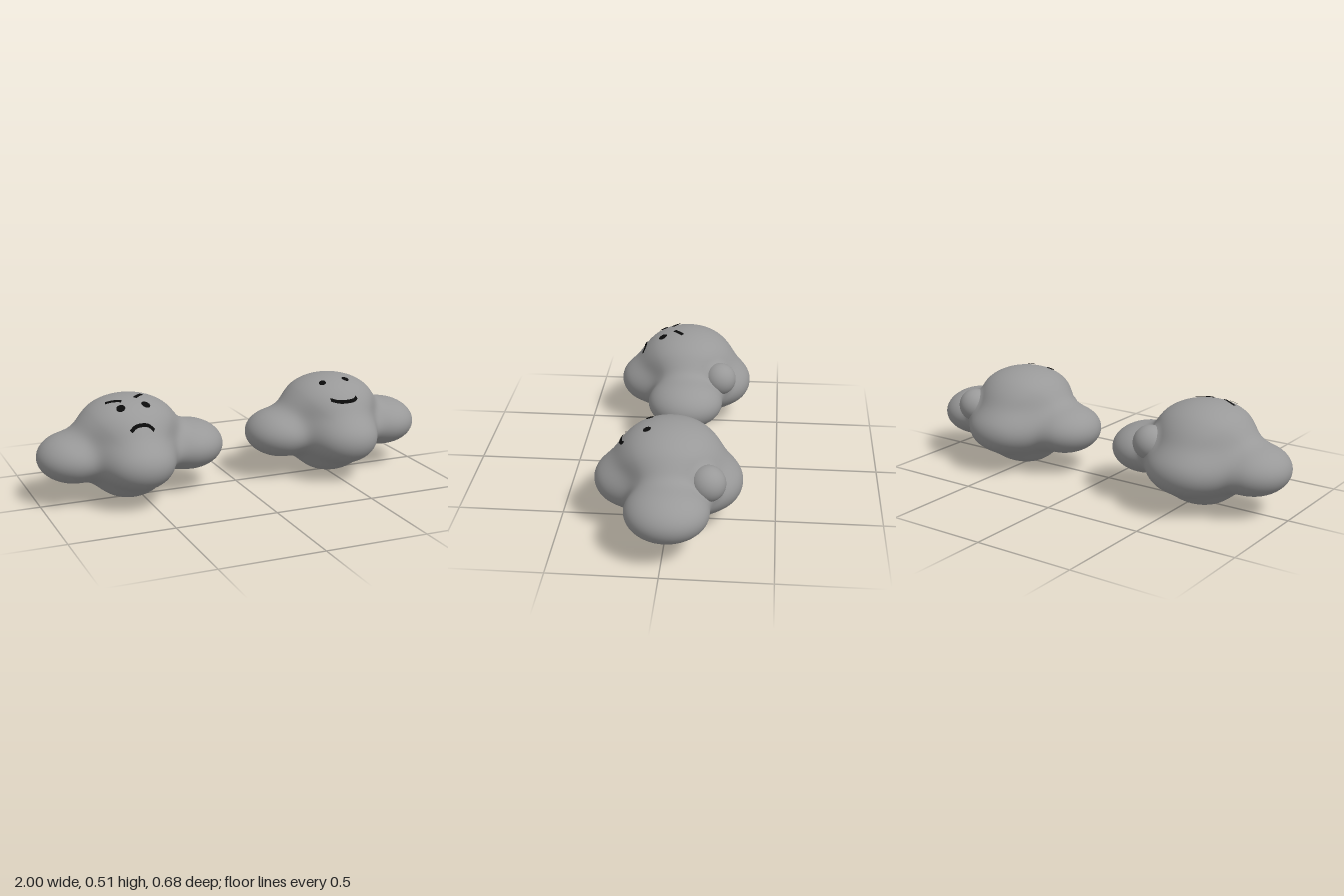
import * as THREE from 'three';
import { mergeVertices } from 'three/addons/utils/BufferGeometryUtils.js';

// Puffs that melt into one cloud: centre, radii, blend width
const PUFFS = [
  [[0, 0.36, -0.01], [0.235, 0.145, 0.23], 0.1],       // crown
  [[0, 0.12, -0.01], [0.17, 0.12, 0.17], 0.1],         // belly
  [[0.3, 0.225, -0.02], [0.182, 0.122, 0.19], 0.1],    // left side
  [[-0.26, 0.225, -0.02], [0.18, 0.122, 0.185], 0.1],  // right side
  [[0, 0.22, 0.17], [0.17, 0.13, 0.17], 0.1],          // front
  [[0, 0.22, -0.175], [0.2, 0.13, 0.17], 0.1],         // back
  [[0.165, 0.295, -0.165], [0.08, 0.08, 0.08], 0.04],  // neck of the small puff
];
const CENTRE = new THREE.Vector3(0, 0.24, -0.01);

function ellipsoidDistance(p, c, r) {
  const x = p.x - c[0], y = p.y - c[1], z = p.z - c[2];
  const k0 = Math.hypot(x / r[0], y / r[1], z / r[2]);
  const k1 = Math.hypot(x / r[0] ** 2, y / r[1] ** 2, z / r[2] ** 2);
  return (k0 * (k0 - 1)) / Math.max(k1, 1e-6);
}

// Smooth union of all puffs
function field(p) {
  let d = 10;
  for (const [c, r, k] of PUFFS) {
    const e = ellipsoidDistance(p, c, r);
    const h = Math.max(k - Math.abs(d - e), 0) / k;
    d = Math.min(d, e) - (h * h * k) / 4;
  }
  return d;
}

// Walk from a point outside the cloud to its surface
function cast(origin, dir) {
  const p = origin.clone();
  for (let i = 0; i < 70; i++) p.addScaledVector(dir, field(p) * 0.6);
  return p;
}

function cloudGeometry() {
  let geo = new THREE.IcosahedronGeometry(1, 38);
  geo.deleteAttribute('uv');
  geo.deleteAttribute('normal');
  geo = mergeVertices(geo);
  const pos = geo.attributes.position;
  const dir = new THREE.Vector3();
  for (let i = 0; i < pos.count; i++) {
    dir.fromBufferAttribute(pos, i).normalize();
    const p = cast(CENTRE.clone().addScaledVector(dir, 0.65), dir.clone().negate());
    pos.setXYZ(i, p.x, p.y, p.z);
  }
  geo.computeVertexNormals();
  return geo;
}

// Lay a flat shape onto the cloud, from above or from the front
function drape(geo, fromAbove) {
  const pos = geo.attributes.position;
  const dir = fromAbove ? new THREE.Vector3(0, -1, 0) : new THREE.Vector3(0, 0, -1);
  for (let i = 0; i < pos.count; i++) {
    const u = pos.getX(i), v = pos.getY(i);
    const start = fromAbove ? new THREE.Vector3(u, 0.7, -v) : new THREE.Vector3(u, v, 0.6);
    const p = cast(start, dir).addScaledVector(dir, -0.005);
    pos.setXYZ(i, p.x, p.y, p.z);
  }
  geo.computeVertexNormals();
  return geo;
}

// Flat ribbon along a curve through 2D points
function stroke(points, width) {
  const curve = new THREE.CatmullRomCurve3(points.map(([x, y]) => new THREE.Vector3(x, y, 0)));
  const geo = new THREE.PlaneGeometry(1, width, 20, 2);
  const pos = geo.attributes.position;
  for (let i = 0; i < pos.count; i++) {
    const t = pos.getX(i) + 0.5, w = pos.getY(i);
    const p = curve.getPoint(t), n = curve.getTangent(t);
    pos.setXYZ(i, p.x - n.y * w, p.y + n.x * w, 0);
  }
  return geo;
}

export function createModel() {
  const grey = new THREE.MeshStandardMaterial({ color: 0x999999 });
  grey.name = 'cloud grey';
  const ink = new THREE.MeshStandardMaterial({ color: 0x0a0a0a, side: THREE.DoubleSide });
  ink.name = 'ink black';

  const body = cloudGeometry();
  const puff = new THREE.SphereGeometry(0.083, 40, 28);

  function add(parent, name, geo, mat) {
    const mesh = new THREE.Mesh(geo, mat);
    mesh.name = name;
    parent.add(mesh);
    return mesh;
  }

  function makeCloud(name, x, face) {
    const cloud = new THREE.Group();
    cloud.name = name;
    cloud.position.x = x;
    add(cloud, 'cloudBody', body, grey);
    add(cloud, 'smallPuff', puff, grey).position.set(0.19, 0.311, -0.192);
    // Eyes and brows are given as x, z seen from above
    face.eyes.forEach(([ex, ez], i) => {
      const eye = new THREE.CircleGeometry(face.eyeRadius, 20).translate(ex, -ez, 0);
      add(cloud, i ? 'leftEye' : 'rightEye', drape(eye, true), ink);
    });
    (face.brows || []).forEach((pts, i) => {
      const brow = stroke(pts.map(([bx, bz]) => [bx, -bz]), 0.019);
      add(cloud, i ? 'leftBrow' : 'rightBrow', drape(brow, true), ink);
    });
    // The mouth is given as x, y seen from the front
    add(cloud, 'mouth', drape(stroke(face.mouth, 0.015), false), ink);
    return cloud;
  }

  const model = new THREE.Group();
  model.name = 'cloudPair';
  model.add(
    makeCloud('angryCloud', -0.56, {
      eyes: [[-0.068, 0.122], [0.055, 0.118]],
      eyeRadius: 0.021,
      brows: [
        [[-0.12, 0.043], [-0.085, 0.055], [-0.05, 0.075]],
        [[0.02, 0.06], [0.045, 0.035], [0.07, 0.012]],
      ],
      mouth: [[-0.053, 0.388], [-0.03, 0.405], [0.003, 0.411], [0.035, 0.405], [0.058, 0.383]],
    }),
    makeCloud('happyCloud', 0.515, {
      eyes: [[-0.083, 0.09], [0.045, 0.09]],
      eyeRadius: 0.018,
      mouth: [[-0.085, 0.421], [-0.05, 0.412], [0, 0.411], [0.035, 0.414], [0.055, 0.423]],
    }),
  );
  return model;
}
